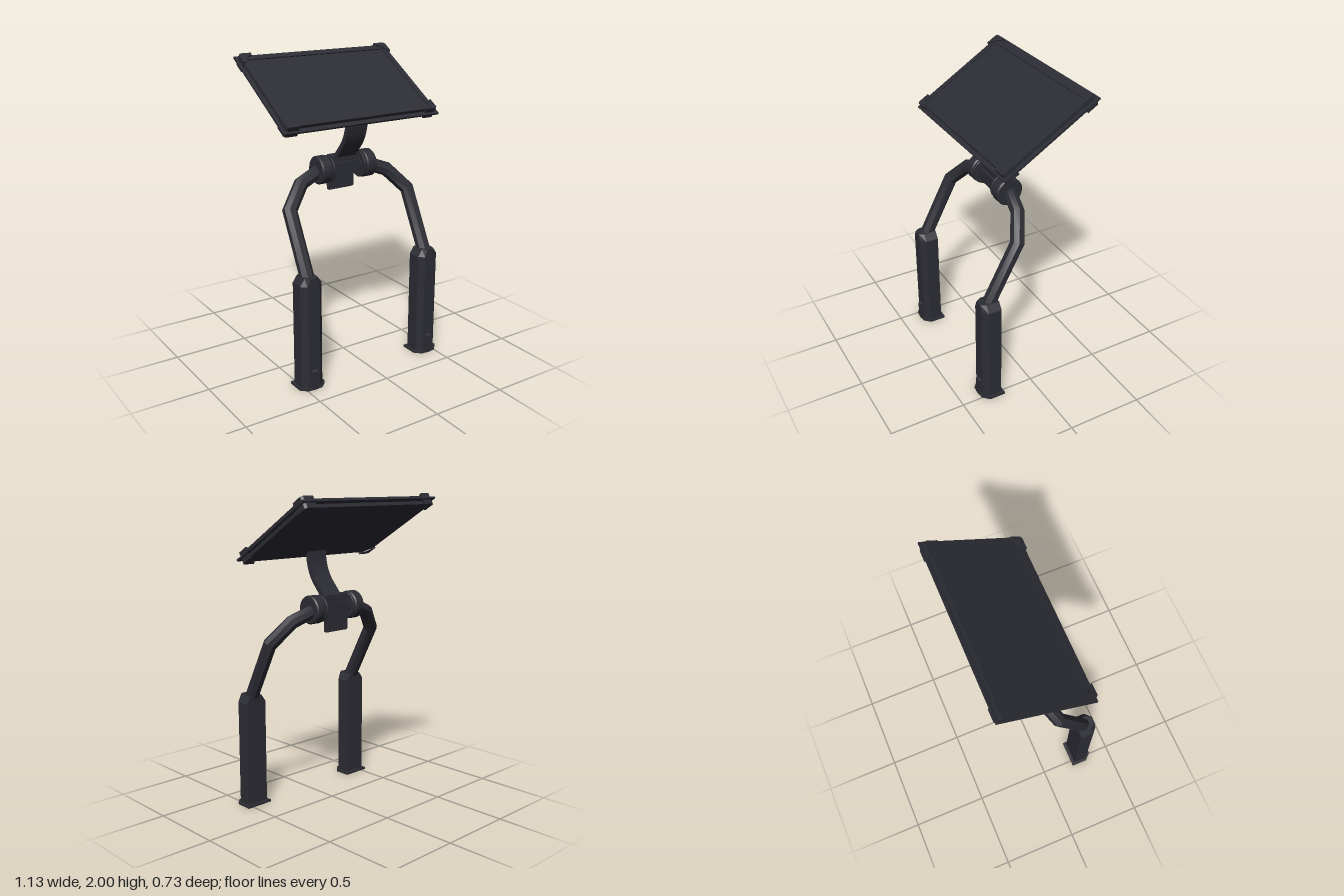
import * as THREE from 'three';
import { toCreasedNormals } from 'three/addons/utils/BufferGeometryUtils.js';

const darkMetal = new THREE.MeshStandardMaterial({ color: 0x2c2c34 });
darkMetal.name = 'dark metal';

function add(parent, name, geometry, x = 0, y = 0, z = 0) {
  const mesh = new THREE.Mesh(geometry, darkMetal);
  mesh.name = name;
  mesh.position.set(x, y, z);
  parent.add(mesh);
  return mesh;
}
const box = (w, h, d) => new THREE.BoxGeometry(w, h, d);
const polygon = pts => new THREE.Shape(pts.map(p => new THREE.Vector2(p[0], p[1])));
const extrude = (shape, depth, steps = 1) =>
  new THREE.ExtrudeGeometry(shape, { depth, steps, bevelEnabled: false });

// Disc or drum lying along x, with softened rims
function drum(radius, length, bevel) {
  const h = length / 2;
  const pts = [[0, -h], [radius - bevel, -h], [radius, -h + bevel],
    [radius, h - bevel], [radius - bevel, h], [0, h]].map(p => new THREE.Vector2(p[0], p[1]));
  return toCreasedNormals(new THREE.LatheGeometry(pts, 24).rotateZ(Math.PI / 2), 0.5);
}

// Mitred pipe through points of the xy plane
function pipe(points, radius, sides) {
  const path = points.map(p => new THREE.Vector2(p[0], p[1]));
  const pos = [], index = [], last = path.length - 1;
  path.forEach((p, i) => {
    const a = path[Math.min(i + 1, last)].clone().sub(path[Math.min(i, last - 1)]).normalize();
    const b = path[Math.max(i, 1)].clone().sub(path[Math.max(i - 1, 0)]).normalize();
    const t = a.clone().add(b).normalize();
    const stretch = radius / t.dot(a);
    for (let k = 0; k < sides; k++) {
      const q = (k + 0.5) / sides * Math.PI * 2;
      pos.push(p.x - t.y * Math.cos(q) * stretch, p.y + t.x * Math.cos(q) * stretch, Math.sin(q) * radius);
      if (i < last) {
        const c = i * sides + k, d = i * sides + (k + 1) % sides;
        index.push(c, c + sides, d, d, c + sides, d + sides);
      }
    }
  });
  const g = new THREE.BufferGeometry();
  g.setAttribute('position', new THREE.Float32BufferAttribute(pos, 3));
  g.setIndex(index);
  // Make every face look outward
  const n = new THREE.Vector3(), e = new THREE.Vector3(), v = j => new THREE.Vector3().fromArray(pos, index[j] * 3);
  n.subVectors(v(1), v(0)).cross(e.subVectors(v(2), v(0)));
  const mid = v(0).add(v(2)).multiplyScalar(0.5).sub(new THREE.Vector3(path[0].x, path[0].y, 0));
  if (n.dot(mid) < 0) index.reverse();
  g.setIndex(index);
  return toCreasedNormals(g, 0.5);
}

function buildLeg(side) {
  const leg = new THREE.Group();
  leg.name = side > 0 ? 'leftLeg' : 'rightLeg';
  leg.position.x = 0.447 * side;

  // Post with chamfered front corners and a shoulder narrowing at the top
  const outline = (w, back, front, c) => polygon([[-w, -back], [w, -back], [w, -front + c],
    [w - c, -front], [c - w, -front], [-w, -front + c]]);
  add(leg, 'post', extrude(outline(0.075, 0.235, 0.355, 0.033), 0.69).rotateX(-Math.PI / 2));
  const shoulder = extrude(outline(0.075, 0.235, 0.355, 0.033), 0.045).rotateX(-Math.PI / 2);
  const p = shoulder.attributes.position;
  for (let i = 0; i < p.count; i++) if (p.getY(i) > 0.02) p.setX(i, p.getX(i) * 0.58);
  shoulder.computeVertexNormals();
  add(leg, 'shoulder', shoulder, 0, 0.69, 0);

  // Foot flange and the small catch in front
  add(leg, 'footFlange', extrude(outline(0.092, 0.215, 0.365, 0.042), 0.014).rotateX(-Math.PI / 2));
  add(leg, 'catch', box(0.038, 0.118, 0.03), 0, 0.059, 0.354);
  add(leg, 'catchTop', drum(0.015, 0.038, 0.003), 0, 0.118, 0.354);

  // Bent arm leaning back toward the hinge
  const arm = add(leg, 'arm', pipe([[0, -0.04], [0, 0.417], [-0.122 * side, 0.568],
    [-0.25 * side, 0.622], [-0.3 * side, 0.626]], 0.045, 8), 0, 0.72, 0.28);
  arm.rotation.x = -0.48;
  return leg;
}

function buildHinge() {
  const hinge = new THREE.Group();
  hinge.name = 'hinge';
  hinge.position.y = 1.287;
  add(hinge, 'axle', drum(0.05, 0.3, 0.005));
  add(hinge, 'hingeBlock', box(0.196, 0.08, 0.1));
  add(hinge, 'neckFoot', box(0.196, 0.045, 0.07), 0, 0.06, -0.002);
  for (const s of [-1, 1]) {
    add(hinge, 'thinWasher', drum(0.086, 0.012, 0.002), s * 0.115, 0, 0);
    add(hinge, 'outerDrum', drum(0.09, 0.074, 0.008), s * 0.167, 0, 0);
  }
  // Hanging flap with rounded lower corners
  const flap = new THREE.Shape();
  flap.moveTo(-0.1, 0.03).lineTo(-0.1, -0.135).quadraticCurveTo(-0.1, -0.152, -0.083, -0.152);
  flap.lineTo(0.083, -0.152).quadraticCurveTo(0.1, -0.152, 0.1, -0.135).lineTo(0.1, 0.03);
  add(hinge, 'flap', extrude(flap, 0.012), 0, 0, -0.04);
  return hinge;
}

// Curved strip carrying the panel
function buildNeck() {
  const curve = new THREE.CatmullRomCurve3([[-0.02, 1.325], [0.05, 1.4], [0.11, 1.475], [0.143, 1.56], [0.152, 1.65]]
    .map(q => new THREE.Vector3(q[0], q[1], 0)));
  const front = [], back = [];
  for (let i = 0; i <= 10; i++) {
    const c = curve.getPoint(i / 10), t = curve.getTangent(i / 10);
    front.push([c.x + t.y * 0.016, c.y - t.x * 0.016]);
    back.unshift([c.x - t.y * 0.016, c.y + t.x * 0.016]);
  }
  const g = extrude(polygon([...front, ...back]), 0.144).translate(0, 0, -0.072).rotateY(-Math.PI / 2);
  return toCreasedNormals(g, 0.5);
}

function buildPanel() {
  const panel = new THREE.Group();
  panel.name = 'panel';
  panel.position.set(0, 1.79, -0.055);
  panel.rotation.x = -THREE.MathUtils.degToRad(58.5);

  add(panel, 'edgePlate', box(1.13, 0.71, 0.012), 0, 0, -0.003);
  add(panel, 'backCover', box(1.08, 0.645, 0.032), 0, 0, -0.016);
  add(panel, 'screen', box(1.02, 0.59, 0.02), 0, 0, 0.008);

  // Stepped rim around the screen
  const rim = (w, h, b) => {
    const s = polygon([[-w, -h], [w, -h], [w, h], [-w, h]]);
    s.holes.push(polygon([[b - w, b - h], [b - w, h - b], [w - b, h - b], [w - b, b - h]]));
    return s;
  };
  add(panel, 'outerRim', extrude(rim(0.54, 0.325, 0.035), 0.025));
  add(panel, 'innerRim', extrude(rim(0.512, 0.297, 0.008), 0.021));

  // Corner guards wrapping both faces
  for (const sx of [-1, 1]) for (const sy of [-1, 1]) {
    const corner = [[0.548, 0.328], [0.536, 0.34], [0.46, 0.34], [0.468, 0.318],
      [0.49, 0.312], [0.52, 0.28], [0.526, 0.262], [0.548, 0.255]].map(q => [q[0] * sx, q[1] * sy]);
    add(panel, 'cornerGuard', extrude(polygon(corner), 0.076), 0, 0, -0.04);
  }
  return panel;
}

export function createModel() {
  const model = new THREE.Group();
  model.name = 'panelStand';
  model.add(buildLeg(1), buildLeg(-1), buildHinge(), buildPanel());
  add(model, 'neck', buildNeck());
  return model;
}
